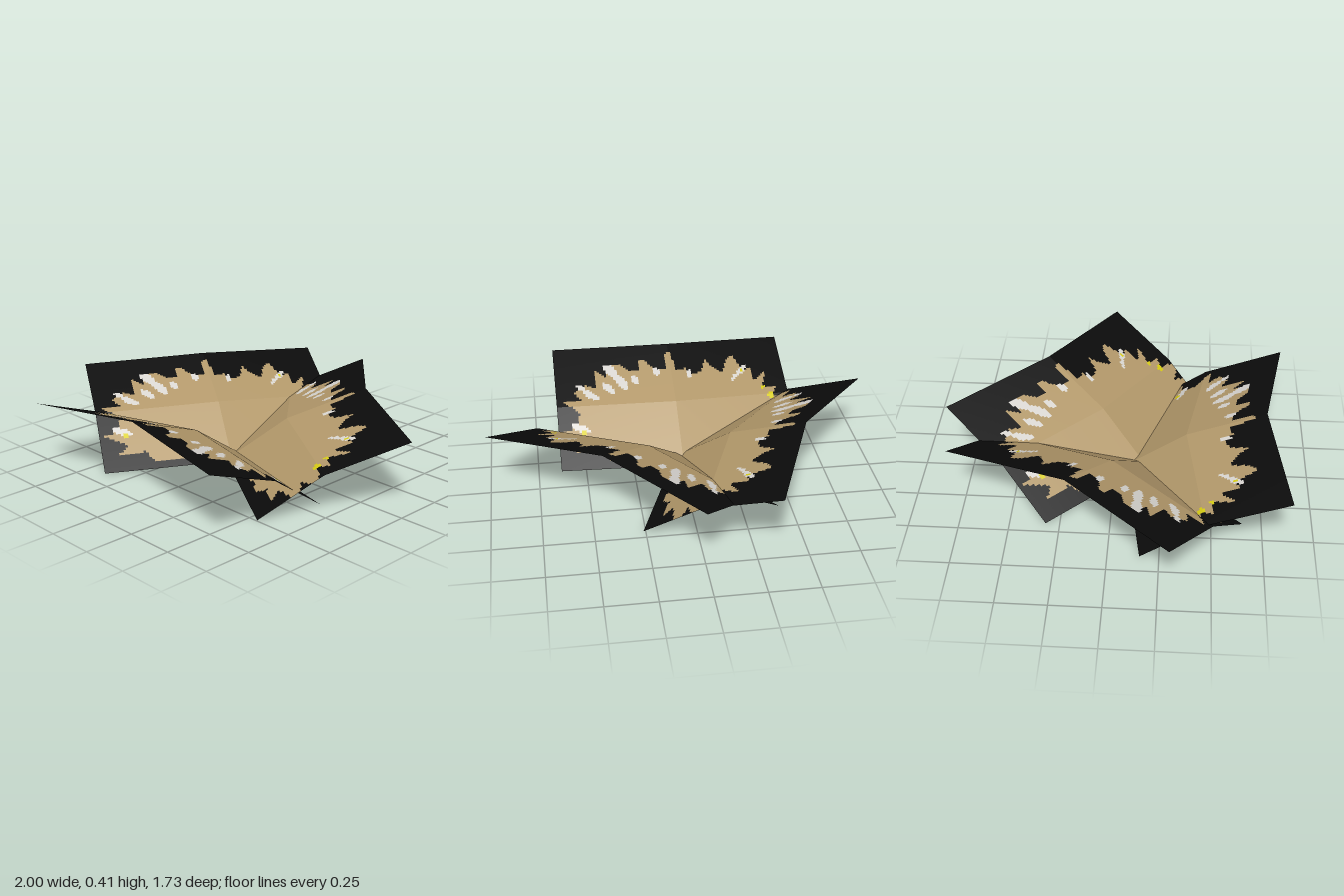
import * as THREE from 'three';

const HALF = 0.64;   // half width of a leaf card
const FOLD = 0.31;   // distance of the cross fold from the inner edge
const DEPTH = 0.71;  // plan depth of a leaf card

const material = (name, color) => {
  const m = new THREE.MeshStandardMaterial({ color, side: THREE.DoubleSide });
  m.name = name;
  return m;
};

// Ragged edge of the dry leaf patch, as (across, outward) points on a card
const outline = [
  [0, 0], [0.2, 0.02], [0.34, 0.06], [0.42, 0.04], [0.46, 0.09], [0.57, 0.08], [0.53, 0.13],
  [0.64, 0.16], [0.64, 0.2], [0.58, 0.22], [0.64, 0.25], [0.64, 0.29], [0.55, 0.3], [0.58, 0.36],
  [0.5, 0.36], [0.54, 0.47], [0.46, 0.41], [0.45, 0.5], [0.41, 0.48], [0.36, 0.6], [0.33, 0.58],
  [0.29, 0.48], [0.24, 0.52], [0.2, 0.58], [0.17, 0.5], [0.12, 0.48], [0.08, 0.53], [0.03, 0.52],
  [0.01, 0.655], [-0.02, 0.64], [-0.03, 0.53], [-0.09, 0.53], [-0.14, 0.61], [-0.17, 0.6],
  [-0.17, 0.53], [-0.22, 0.53], [-0.27, 0.58], [-0.33, 0.58], [-0.36, 0.5], [-0.42, 0.55],
  [-0.42, 0.42], [-0.47, 0.45], [-0.54, 0.4], [-0.5, 0.34], [-0.6, 0.34], [-0.52, 0.27],
  [-0.54, 0.2], [-0.62, 0.19], [-0.5, 0.13], [-0.56, 0.08], [-0.42, 0.09], [-0.38, 0.04], [-0.2, 0.03],
];

// Pale flecks: across, outward, half width, half length
const paleFlecks = [
  [-0.28, 0.46, 0.025, 0.06], [-0.33, 0.54, 0.03, 0.05], [-0.35, 0.42, 0.02, 0.05],
  [-0.45, 0.38, 0.022, 0.05], [-0.5, 0.43, 0.014, 0.03], [-0.52, 0.2, 0.018, 0.05],
  [-0.2, 0.47, 0.02, 0.03], [-0.08, 0.52, 0.018, 0.03], [0.1, 0.49, 0.016, 0.03],
  [0.4, 0.49, 0.016, 0.045], [0.35, 0.44, 0.012, 0.03],
];
const yellowFlecks = [
  [0.54, 0.3, 0.018, 0.018], [0.4, 0.49, 0.012, 0.012], [-0.5, 0.18, 0.014, 0.014], [0.5, 0.36, 0.012, 0.012],
];

function insideOutline(u, s) {
  let inside = false;
  outline.forEach(([u1, s1], i) => {
    const [u2, s2] = outline[(i + 1) % outline.length];
    if ((s1 > s) !== (s2 > s) && u < u1 + ((s - s1) / (s2 - s1)) * (u2 - u1)) inside = !inside;
  });
  return inside;
}

// Flecks are ellipses stretched away from the middle of the inner edge
function inFleck(list, u, s) {
  return list.some(([cu, cs, w, l]) => {
    const r = Math.hypot(cu, cs), a = cu / r, b = cs / r;
    const along = (u - cu) * a + (s - cs) * b;
    const across = (u - cu) * b - (s - cs) * a;
    return (along / l) ** 2 + (across / w) ** 2 < 1;
  });
}

function partAt(u, s) {
  if (inFleck(yellowFlecks, u, s)) return 'yellowFlecks';
  if (inFleck(paleFlecks, u, s)) return 'paleFlecks';
  return insideOutline(u, s) ? 'dryLeaf' : 'darkBorder';
}

// Card surface: raised centre crease and a cross fold that flattens outward
function cardPoint(u, s) {
  const ridge = 1 - Math.abs(u) / HALF;
  const y = s < FOLD ? (s / FOLD) * 0.215 : 0.215 + ((s - FOLD) / (DEPTH - FOLD)) * 0.148;
  return [u, y + 0.046 * ridge, s - 0.1 * ridge];
}

function buildCard(materials) {
  const card = new THREE.Group();
  const cells = { darkBorder: [], dryLeaf: [], paleFlecks: [], yellowFlecks: [] };
  const columns = 104, innerRows = 26, rows = 60;
  const uAt = i => -HALF + (2 * HALF * i) / columns;
  const sAt = j => (j <= innerRows ? (FOLD * j) / innerRows
    : FOLD + ((DEPTH - FOLD) * (j - innerRows)) / (rows - innerRows));
  for (let i = 0; i < columns; i++) {
    for (let j = 0; j < rows; j++) {
      const [u0, u1, s0, s1] = [uAt(i), uAt(i + 1), sAt(j), sAt(j + 1)];
      const a = cardPoint(u0, s0), b = cardPoint(u1, s0), c = cardPoint(u1, s1), d = cardPoint(u0, s1);
      cells[partAt((u0 + u1) / 2, (s0 + s1) / 2)].push(...a, ...d, ...c, ...a, ...c, ...b);
    }
  }
  for (const [name, positions] of Object.entries(cells)) {
    const geometry = new THREE.BufferGeometry();
    geometry.setAttribute('position', new THREE.Float32BufferAttribute(positions, 3));
    geometry.computeVertexNormals();
    const mesh = new THREE.Mesh(geometry, materials[name]);
    mesh.name = name;
    card.add(mesh);
  }
  return card;
}

export function createModel() {
  const model = new THREE.Group();
  model.name = 'leafRosette';
  const materials = {
    darkBorder: material('black', 0x0b0b0b),
    dryLeaf: material('tan', 0xb2986a),
    paleFlecks: material('pale grey', 0xd8d5d0),
    yellowFlecks: material('yellow', 0xd6cc14),
  };
  // Three crossing cards: inner edge centre x, z and outward direction x, z
  const cards = [
    ['frontCard', -0.01, 0.155, 0, 1],
    ['backLeftCard', 0.053, 0.087, 0.637, -0.77],
    ['backRightCard', -0.062, 0.104, -0.863, -0.505],
  ];
  const base = buildCard(materials);
  for (const [name, x, z, nx, nz] of cards) {
    const card = base.clone();
    card.name = name;
    // Across runs along (-nz, nx), so the card is mirrored from a plain turn
    card.traverse(part => {
      if (!part.isMesh) return;
      part.geometry = part.geometry.clone();
      const p = part.geometry.attributes.position;
      for (let i = 0; i < p.count; i++) {
        const u = p.getX(i), s = p.getZ(i);
        p.setXYZ(i, -nz * u + nx * s, p.getY(i), nx * u + nz * s);
      }
      part.geometry.computeVertexNormals();
    });
    card.position.set(x, 0, z);
    model.add(card);
  }
  return model;
}
